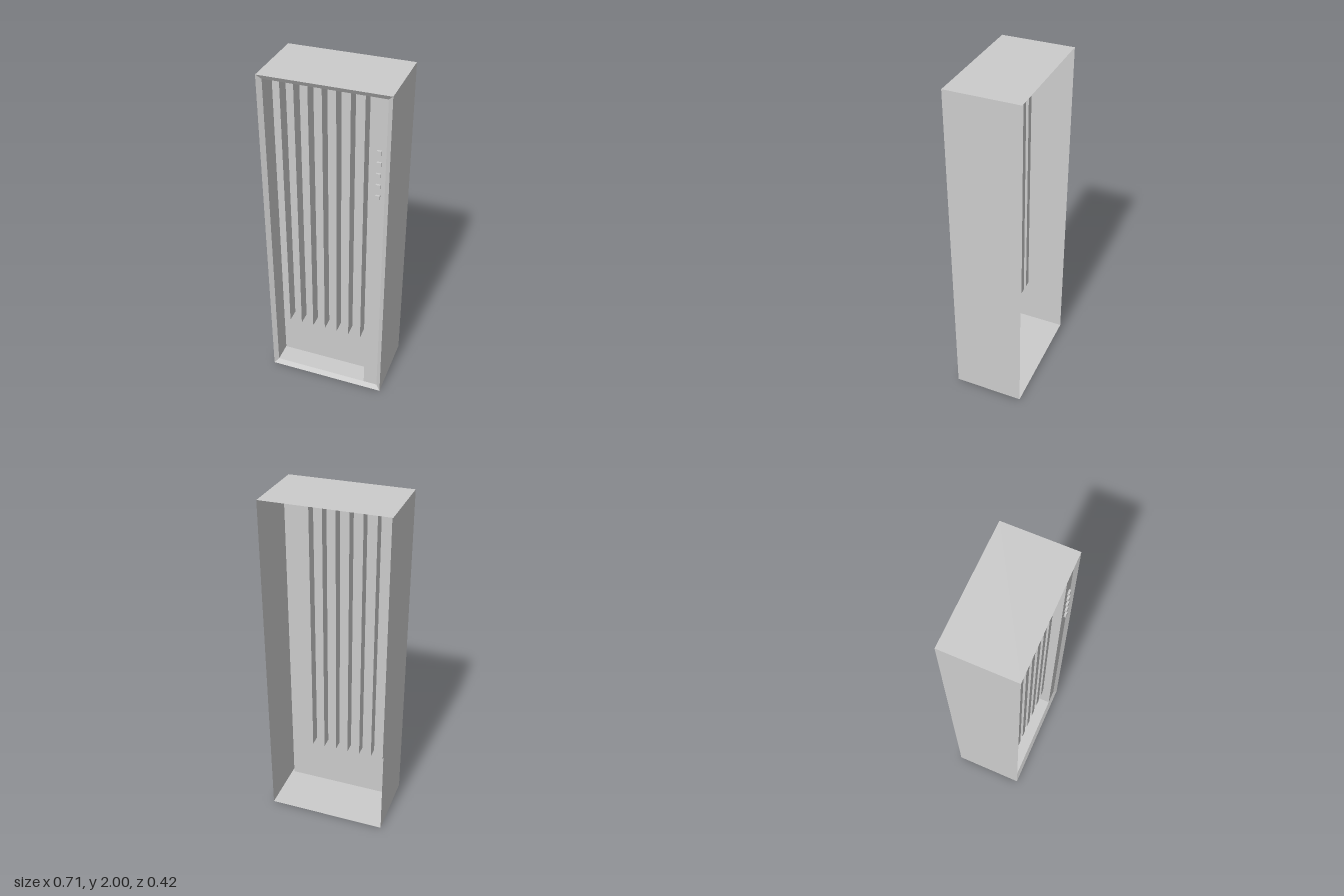
import * as THREE from 'three';

const material = new THREE.MeshStandardMaterial({ color: 0xcccccc, flatShading: true, side: THREE.DoubleSide });

function addBox(parent, name, [x0, x1], [y0, y1], [z0, z1]) {
  const mesh = new THREE.Mesh(new THREE.BoxGeometry(x1 - x0, y1 - y0, z1 - z0), material);
  mesh.position.set((x0 + x1) / 2, (y0 + y1) / 2, (z0 + z1) / 2);
  mesh.name = name;
  parent.add(mesh);
}

// Thin sheet through a series of rectangular loops, closed at the last one
function loopedSheet(sections) {
  const loops = sections.map(([inset, z]) => {
    const x = 0.354 - inset, y0 = inset * 1.1, y1 = 2 - inset;
    return [[-x, y0, z], [x, y0, z], [x, y1, z], [-x, y1, z]];
  });
  const positions = [];
  const quad = (a, b, c, d) => positions.push(...a, ...b, ...c, ...a, ...c, ...d);
  for (let i = 0; i < loops.length - 1; i++) {
    for (let j = 0; j < 4; j++) {
      const k = (j + 1) % 4;
      quad(loops[i][j], loops[i][k], loops[i + 1][k], loops[i + 1][j]);
    }
  }
  quad(...loops[loops.length - 1]);
  const geometry = new THREE.BufferGeometry();
  geometry.setAttribute('position', new THREE.Float32BufferAttribute(positions, 3));
  geometry.computeVertexNormals();
  return geometry;
}

export function createModel() {
  const model = new THREE.Group();
  model.name = 'cabinet';

  // Case open at the back: outer walls, bevelled front rim, recess walls and recess floor
  const shell = new THREE.Mesh(
    loopedSheet([[0, -0.208], [0, 0.208], [0.026, 0.191], [0.026, 0.074]]), material);
  shell.name = 'caseShell';
  model.add(shell);

  // Control strip along one side of the recess
  addBox(model, 'controlStrip', [0.245, 0.328], [0.0286, 1.974], [0.074, 0.191]);

  // Row of tall fins passing through the recess floor
  const fins = new THREE.Group();
  fins.name = 'fins';
  for (let i = 0; i < 7; i++) {
    const x = -0.272 + i * 0.0757;
    addBox(fins, 'fin', [x - 0.0195, x + 0.0195], [0.355, 1.965], [0.006, 0.152]);
  }
  model.add(fins);

  // Small square buttons on the control strip
  const buttons = new THREE.Group();
  buttons.name = 'buttons';
  for (let i = 0; i < 5; i++) {
    const y = 1.68 - i * 0.066;
    addBox(buttons, 'button', [0.281, 0.305], [y - 0.012, y + 0.012], [0.185, 0.203]);
  }
  model.add(buttons);

  return model;
}
